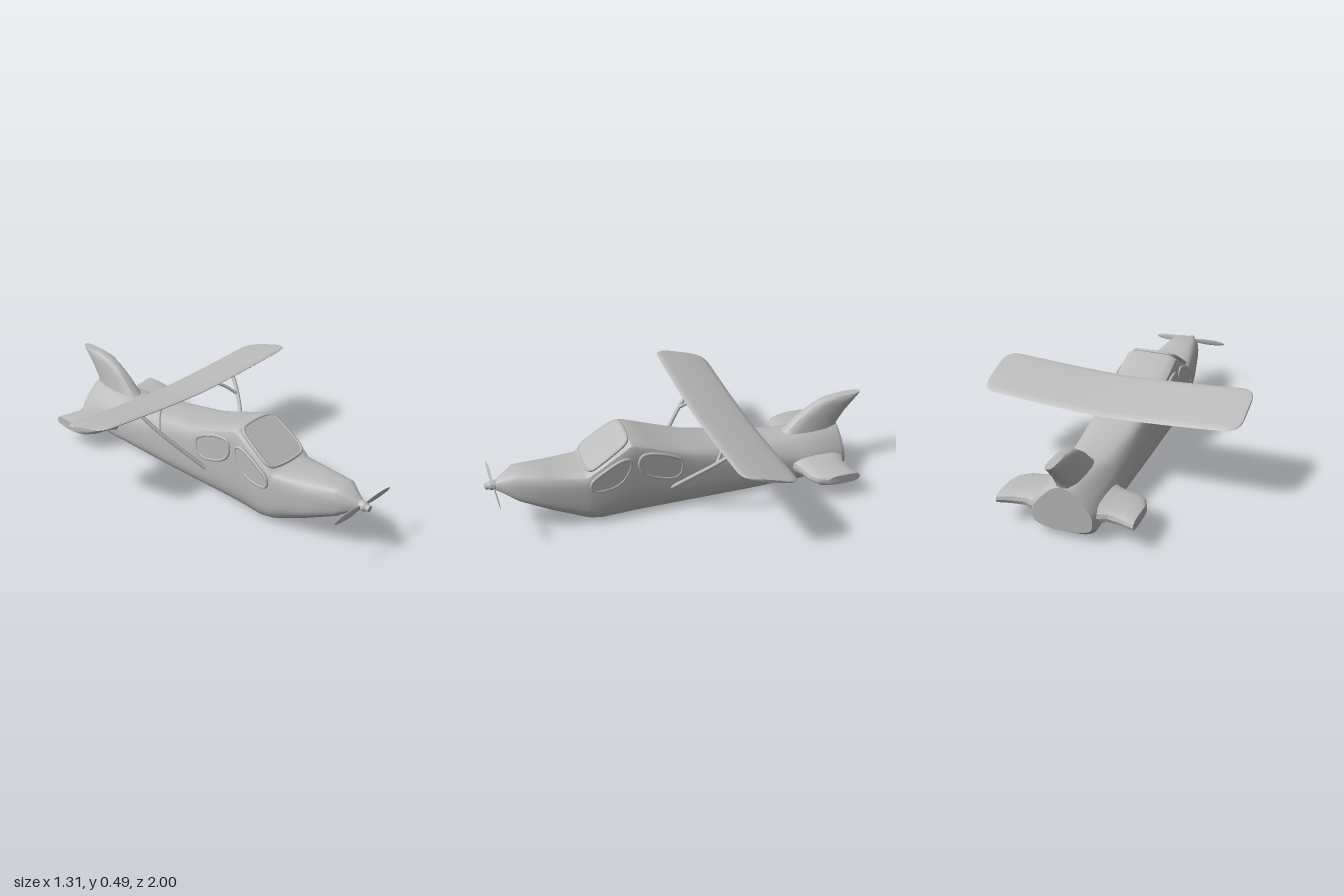
import * as THREE from 'three';
import { toCreasedNormals } from 'three/addons/utils/BufferGeometryUtils.js';

const V = (x, y, z) => new THREE.Vector3(x, y, z);

// Skin a list of equal-length closed rings and cap both ends.
function loft(rings, crease = 0.6) {
  const n = rings[0].length, pos = [], idx = [];
  rings.forEach(r => r.forEach(p => pos.push(p.x, p.y, p.z)));
  for (let i = 0; i < rings.length - 1; i++)
    for (let j = 0; j < n; j++) {
      const a = i * n + j, b = i * n + (j + 1) % n;
      idx.push(a, b, a + n, b, b + n, a + n);
    }
  [0, rings.length - 1].forEach((k, end) => {
    const c = rings[k].reduce((s, p) => s.add(p), V(0, 0, 0)).divideScalar(n);
    const ci = pos.length / 3;
    pos.push(c.x, c.y, c.z);
    for (let j = 0; j < n; j++) {
      const a = k * n + j, b = k * n + (j + 1) % n;
      end ? idx.push(ci, a, b) : idx.push(ci, b, a);
    }
  });
  // Turn the faces outward by checking the signed volume.
  const at = i => V(pos[3 * i], pos[3 * i + 1], pos[3 * i + 2]);
  let vol = 0;
  for (let i = 0; i < idx.length; i += 3)
    vol += at(idx[i]).dot(at(idx[i + 1]).cross(at(idx[i + 2])));
  if (vol < 0) idx.reverse();
  const g = new THREE.BufferGeometry();
  g.setAttribute('position', new THREE.Float32BufferAttribute(pos, 3));
  g.setIndex(idx);
  return toCreasedNormals(g, crease);
}

// Cut the corners of a closed polygon of [x, y] points.
const cutCorners = (pts, f) => pts.flatMap((p, i) => {
  const q = pts[(i + 1) % pts.length];
  const mix = t => [p[0] + (q[0] - p[0]) * t, p[1] + (q[1] - p[1]) * t];
  return [mix(f), mix(1 - f)];
});

// Rounded blade section: u runs along the chord, v through the thickness.
function bladeRing(front, back, half, place, n = 16) {
  const mid = (front + back) / 2, chord = (front - back) / 2;
  return Array.from({ length: n }, (_, i) => {
    const a = (i / n) * Math.PI * 2, c = Math.cos(a), s = Math.sin(a);
    const u = Math.sign(c) * Math.abs(c) ** 0.7, v = Math.sign(s) * Math.abs(s) ** 0.7;
    return place(mid + chord * u, half * v);
  });
}

function tube(points, r, closed = false, steps = 16) {
  const curve = new THREE.CatmullRomCurve3(points, closed, 'centripetal');
  return new THREE.TubeGeometry(curve, steps, r, 8, closed);
}

// Panel with a raised rim from an outline in the xy plane.
function framedPane(outline, rim, depth) {
  const curve = new THREE.CatmullRomCurve3(outline.map(p => V(p[0], p[1], 0)), true, 'centripetal');
  const shape = new THREE.Shape(curve.getPoints(48).slice(0, -1).map(p => new THREE.Vector2(p.x, p.y)));
  const pane = new THREE.ExtrudeGeometry(shape, { depth, bevelEnabled: false });
  pane.translate(0, 0, -depth / 2);
  return [pane, new THREE.TubeGeometry(curve, 64, rim, 8, true)];
}

export function createModel() {
  const model = new THREE.Group();
  model.name = 'airplane';
  const grey = new THREE.MeshStandardMaterial({ color: 0xbcbcbc });
  grey.name = 'plain grey';
  const add = (name, geo, parent = model) => {
    const m = new THREE.Mesh(geo, grey);
    m.name = name;
    parent.add(m);
    return m;
  };

  // Fuselage: [z, half width, bottom, top, top half width, bottom half width, shoulder]
  const body = [
    [0.945, 0.024, 0.232, 0.275, 0.016, 0.016, 0.26],
    [0.91, 0.045, 0.212, 0.295, 0.03, 0.03, 0.265],
    [0.85, 0.082, 0.17, 0.325, 0.058, 0.055, 0.275],
    [0.7, 0.115, 0.095, 0.31, 0.08, 0.08, 0.26],
    [0.53, 0.14, 0.018, 0.292, 0.115, 0.1, 0.25],
    [0.51, 0.143, 0.012, 0.297, 0.125, 0.105, 0.26],
    [0.45, 0.146, 0, 0.337, 0.128, 0.11, 0.29],
    [0.295, 0.146, 0, 0.437, 0.125, 0.11, 0.375],
    [0.27, 0.146, 0, 0.433, 0.125, 0.11, 0.375],
    [0.19, 0.146, 0, 0.4, 0.127, 0.11, 0.35],
    [-0.02, 0.146, 0, 0.325, 0.12, 0.11, 0.275],
    [-0.3, 0.146, 0, 0.277, 0.1, 0.11, 0.22],
    [-0.52, 0.146, 0.005, 0.243, 0.085, 0.11, 0.17],
    [-0.62, 0.155, 0.008, 0.25, 0.065, 0.11, 0.16],
    [-0.84, 0.16, 0.014, 0.258, 0.05, 0.1, 0.15],
    [-0.868, 0.145, 0.035, 0.25, 0.04, 0.085, 0.14],
  ];
  add('fuselage', loft(body.map(([z, w, b, t, wt, wb, s]) => {
    const half = [[wb, b], [w, b + 0.25 * (s - b)], [w, s], [wt, t]];
    const ring = half.concat(half.map(([x, y]) => [-x, y]).reverse());
    return cutCorners(cutCorners(ring, 0.2), 0.25).map(([x, y]) => V(x, y, z));
  })));

  // Wing: one tilted span with a little dihedral and rounded tips
  const span = [0, 0.15, 0.3, 0.45, 0.59, 0.615, 0.635, 0.648, 0.653];
  const stations = span.slice(1).map(x => -x).reverse().concat(span);
  add('wing', loft(stations.map(x => {
    const ax = Math.abs(x), k = Math.max(0, (ax - 0.59) / 0.063);
    const inset = 0.065 * (1 - Math.sqrt(Math.max(0, 1 - k * k))) + 0.006 * ax;
    const lift = 0.407 + 0.037 * (ax / 0.65) ** 1.4;
    return bladeRing(-0.065 - inset, -0.367 + inset, 0.012 * (1 - 0.4 * k),
      (z, v) => V(x, lift + 0.3 * (z + 0.215) + v, z));
  })));

  // Fin: [y, leading z, trailing z, half thickness]
  const fin = [
    [0.2, -0.5, -0.865, 0.06], [0.26, -0.58, -0.868, 0.05], [0.32, -0.64, -0.91, 0.042],
    [0.375, -0.72, -0.96, 0.036], [0.4, -0.775, -0.985, 0.032], [0.414, -0.84, -1, 0.022],
  ];
  add('fin', loft(fin.map(([y, f, b, h]) => bladeRing(f, b, h, (z, v) => V(v, y, z)))));

  // Stabilizers: [x, leading z, trailing z, half thickness]
  const stab = [
    [0.1, -0.53, -0.865, 0.052], [0.165, -0.575, -0.845, 0.042], [0.2, -0.59, -0.83, 0.038],
    [0.27, -0.603, -0.842, 0.034], [0.31, -0.63, -0.855, 0.031], [0.332, -0.68, -0.86, 0.026],
  ];

  // Side window outlines as [z, y]
  const windows = {
    frontWindow: [[0.505, 0.225], [0.5, 0.258], [0.46, 0.292], [0.335, 0.355], [0.305, 0.345],
      [0.307, 0.3], [0.35, 0.232], [0.4, 0.207], [0.485, 0.205]],
    rearWindow: [[0.245, 0.357], [0.19, 0.36], [0.08, 0.32], [0.042, 0.29], [0.045, 0.225],
      [0.075, 0.2], [0.165, 0.217], [0.235, 0.257], [0.26, 0.31]],
  };

  for (const [side, sx] of [['left', 1], ['right', -1]]) {
    add(side + 'Stabilizer', loft(stab.map(([x, f, b, h]) =>
      bladeRing(f, b, h, (z, v) => V(sx * x, 0.116 + v, z)))));

    // Wing strut with a short inner brace
    const p = (x, y, z) => V(sx * x, y, z);
    add(side + 'Strut', tube([p(0.14, 0.135, 0.095), p(0.21, 0.228, 0.01),
      p(0.28, 0.325, -0.085), p(0.335, 0.425, -0.19)], 0.01));
    add(side + 'StrutBrace', tube([p(0.28, 0.33, -0.09), p(0.235, 0.375, -0.135),
      p(0.165, 0.412, -0.19)], 0.008));

    for (const [name, outline] of Object.entries(windows)) {
      const group = new THREE.Group();
      group.name = side + name[0].toUpperCase() + name.slice(1);
      framedPane(outline, 0.008, 0.009).forEach((g, i) => {
        g.rotateY(-Math.PI / 2).translate(sx * 0.145, 0, 0);
        add(i ? 'frame' : 'pane', g, group);
      });
      model.add(group);
    }
  }

  // Windshield laid on the sloping front of the cabin
  const windshield = new THREE.Group();
  windshield.name = 'windshield';
  const corner = [[0.118, 0.04], [0.108, 0.1], [0.085, 0.12]];
  const low = [[0.095, -0.12], [0.118, -0.1], [0.122, -0.04]];
  const rightHalf = low.concat(corner);
  const outline = rightHalf.concat(rightHalf.map(([x, y]) => [-x, y]).reverse());
  framedPane(outline, 0.008, 0.009).forEach((g, i) => add(i ? 'frame' : 'pane', g, windshield));
  windshield.position.set(0, 0.37, 0.405);
  windshield.rotation.x = -1.0;
  model.add(windshield);

  // Propeller: hub and two thin blades
  const propeller = new THREE.Group();
  propeller.name = 'propeller';
  const hub = [[0, -0.03], [0.024, -0.03], [0.024, 0.012], [0.017, 0.022], [0.015, 0.038], [0, 0.043]];
  const hubGeo = new THREE.LatheGeometry(hub.map(([r, y]) => new THREE.Vector2(r, y)), 12);
  add('hub', toCreasedNormals(hubGeo.rotateX(Math.PI / 2), 0.5), propeller);
  for (const s of [1, -1]) {
    const blade = new THREE.SphereGeometry(1, 20, 12);
    blade.scale(0.098, 0.017, 0.004).rotateX(s * 0.15).translate(s * 0.108, 0.002, 0);
    add('blade', blade, propeller);
  }
  propeller.position.set(0, 0.256, 0.957);
  model.add(propeller);

  return model;
}
